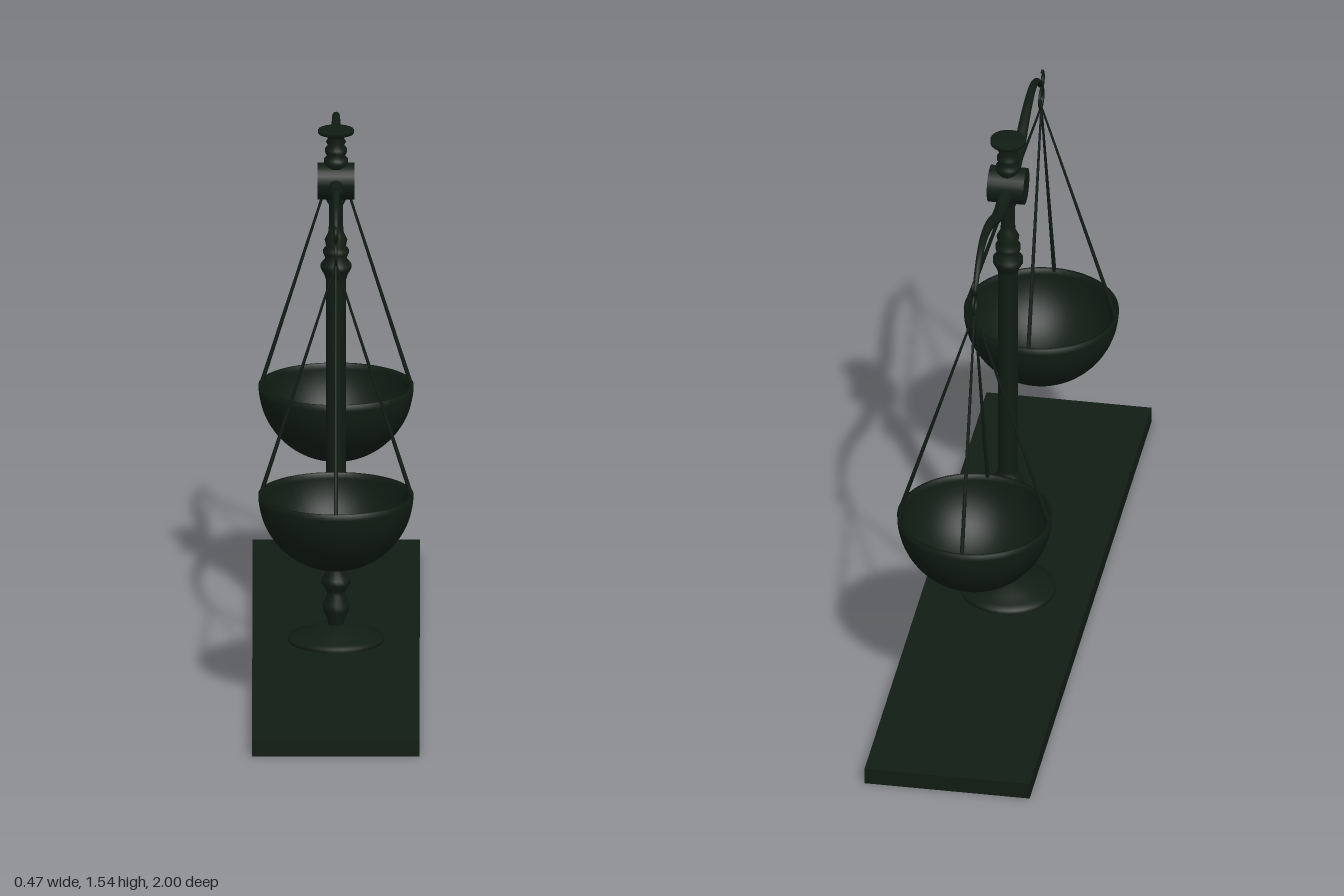
import * as THREE from 'three';

const material = new THREE.MeshStandardMaterial({ color: 0x101c14 });
const twoSided = new THREE.MeshStandardMaterial({ color: 0x101c14, side: THREE.DoubleSide });

function add(parent, name, geometry, mat = material) {
  const mesh = new THREE.Mesh(geometry, mat);
  mesh.name = name;
  parent.add(mesh);
  return mesh;
}

function lathe(points, segments) {
  return new THREE.LatheGeometry(points.map(([r, y]) => new THREE.Vector2(r, y)), segments);
}

// Tube whose radius shrinks or grows along its path
function taperedTube(curve, steps, sides, radiusAt) {
  const geometry = new THREE.TubeGeometry(curve, steps, 1, sides);
  const pos = geometry.attributes.position;
  const v = new THREE.Vector3();
  for (let i = 0; i <= steps; i++) {
    const center = curve.getPointAt(i / steps);
    const r = radiusAt(i / steps);
    for (let j = 0; j <= sides; j++) {
      const k = i * (sides + 1) + j;
      v.fromBufferAttribute(pos, k).sub(center).multiplyScalar(r).add(center);
      pos.setXYZ(k, v.x, v.y, v.z);
    }
  }
  geometry.computeVertexNormals();
  return geometry;
}

// Cylinder stretched between two points
function rod(parent, name, bottom, top, rBottom, rTop) {
  const direction = top.clone().sub(bottom);
  const mesh = add(parent, name, new THREE.CylinderGeometry(rTop, rBottom, direction.length(), 8));
  mesh.position.copy(bottom).add(top).multiplyScalar(0.5);
  mesh.quaternion.setFromUnitVectors(new THREE.Vector3(0, 1, 0), direction.normalize());
}

// One arm with its hook, ring, chains and bowl; it points along +z
function createSide() {
  const side = new THREE.Group();

  const armCurve = new THREE.CatmullRomCurve3([
    [0, 1.395], [0.06, 1.385], [0.12, 1.383], [0.18, 1.395], [0.26, 1.43], [0.33, 1.453],
    [0.40, 1.461], [0.46, 1.445], [0.505, 1.415], [0.53, 1.39], [0.55, 1.377],
  ].map(([z, y]) => new THREE.Vector3(0, y, z)));
  add(side, 'beamArm', taperedTube(armCurve, 48, 12, t => 0.021 - 0.014 * t));

  const hookCurve = new THREE.CatmullRomCurve3([
    [0.545, 1.378], [0.562, 1.377], [0.574, 1.388], [0.575, 1.404], [0.565, 1.415], [0.55, 1.415],
  ].map(([z, y]) => new THREE.Vector3(0, y, z)));
  add(side, 'hook', taperedTube(hookCurve, 20, 8, t => 0.007 - 0.004 * t));

  const ring = add(side, 'hangingRing', new THREE.TorusGeometry(0.03, 0.004, 8, 32));
  ring.rotation.y = Math.PI / 2;
  ring.position.set(0, 1.336, 0.547);

  // Four chains spread from the ring to the rim
  const top = new THREE.Vector3(0, 1.308, 0.547);
  for (let i = 0; i < 4; i++) {
    const a = i * Math.PI / 2;
    const rim = new THREE.Vector3(0.212 * Math.sin(a), 0.63, 0.547 + 0.212 * Math.cos(a));
    rod(side, 'chain', rim, top, 0.006, 0.003);
  }

  // Hollow half-sphere bowl: outer wall, flat rim, inner wall
  const arc = (r, t) => [r * Math.sin(t), -r * Math.cos(t)];
  const profile = [];
  for (let i = 0; i <= 20; i++) profile.push(arc(0.218, i / 20 * Math.PI / 2));
  for (let i = 20; i >= 0; i--) profile.push(arc(0.208, i / 20 * Math.PI / 2));
  const bowl = add(side, 'bowl', lathe(profile, 48), twoSided);
  bowl.position.set(0, 0.635, 0.547);
  return side;
}

export function createModel() {
  const model = new THREE.Group();
  model.name = 'balanceScale';

  const base = add(model, 'base', new THREE.BoxGeometry(0.47, 0.048, 2));
  base.position.y = 0.024;

  add(model, 'foot', lathe([
    [0, 0.045], [0.135, 0.045], [0.135, 0.058], [0.115, 0.063], [0.09, 0.076],
    [0.06, 0.088], [0.035, 0.095], [0, 0.095],
  ], 40));

  // Turned post with beads at the lower and upper ends
  add(model, 'post', lathe([
    [0.022, 0.09], [0.024, 0.11], [0.036, 0.135], [0.038, 0.155], [0.024, 0.18], [0.028, 0.195],
    [0.042, 0.215], [0.04, 0.228], [0.027, 0.25], [0.022, 0.30], [0.031, 0.315], [0.031, 0.33],
    [0.026, 0.345], [0.03, 0.37], [0.045, 0.39], [0.046, 0.41], [0.032, 0.43], [0.028, 0.445],
    [0.028, 1.10], [0.032, 1.115], [0.043, 1.135], [0.043, 1.148], [0.03, 1.165],
    [0.036, 1.18], [0.036, 1.19], [0.028, 1.2], [0.032, 1.22], [0.022, 1.24],
    [0.02, 1.26], [0.02, 1.32], [0.028, 1.335], [0.028, 1.36],
  ], 20), twoSided);

  // Pivot hub lying across the beam
  const hub = add(model, 'hub', new THREE.CylinderGeometry(0.052, 0.052, 0.104, 24));
  hub.rotation.z = Math.PI / 2;
  hub.position.y = 1.39;

  // Finial with a flat cap
  add(model, 'finial', lathe([
    [0, 1.42], [0.03, 1.42], [0.034, 1.445], [0.034, 1.455], [0.025, 1.463], [0.031, 1.475],
    [0.031, 1.485], [0.023, 1.495], [0.028, 1.505], [0.023, 1.515], [0.03, 1.527],
    [0.05, 1.53], [0.05, 1.541], [0, 1.541],
  ], 20));

  const front = createSide();
  front.name = 'frontScale';
  const back = createSide();
  back.name = 'backScale';
  back.rotation.y = Math.PI;
  model.add(front, back);
  return model;
}
